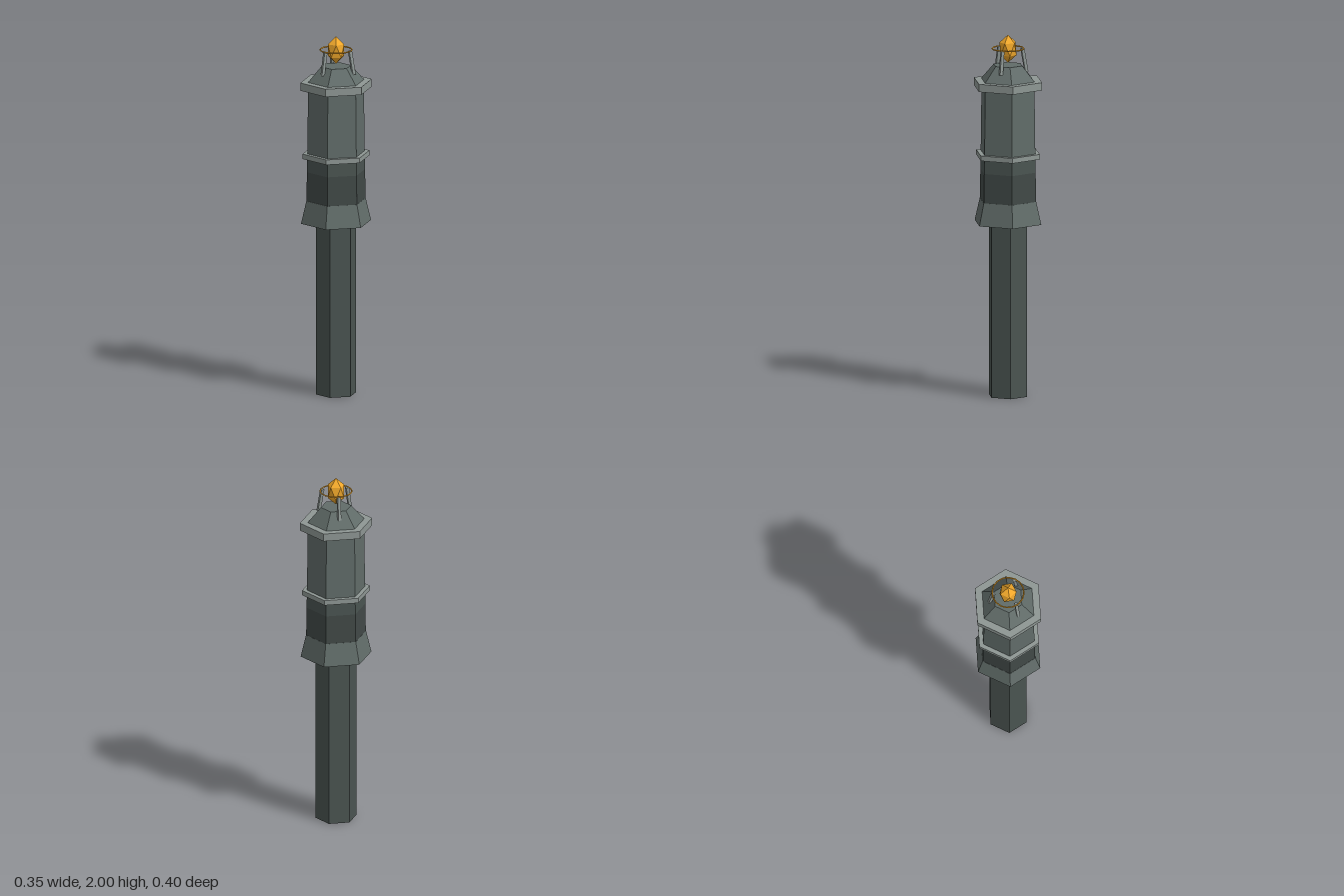
import * as THREE from 'three';

const mat = (color) => new THREE.MeshStandardMaterial({ color, flatShading: true });

export function createModel() {
  const model = new THREE.Group();
  const iron = mat(0x4a5451), band = mat(0x414947), steel = mat(0x616c69);
  const trim = mat(0x8e9794), gold = mat(0xf2a92b);

  const add = (name, geometry, material) => {
    const mesh = new THREE.Mesh(geometry, material);
    mesh.name = name;
    model.add(mesh);
    return mesh;
  };

  // Six-sided section between two heights, corners on the z axis
  const hex = (name, y0, y1, r0, r1, material) => {
    add(name, new THREE.CylinderGeometry(r1, r0, y1 - y0, 6), material).position.y = (y0 + y1) / 2;
  };

  // Shaft and stacked head
  hex('shaft', 0, 0.965, 0.113, 0.113, iron);
  hex('flaredCollar', 0.96, 1.085, 0.196, 0.166, steel);
  hex('gripBand', 1.085, 1.247, 0.165, 0.163, band);
  hex('lowerHousing', 1.247, 1.33, 0.163, 0.161, iron);
  hex('middleRing', 1.322, 1.35, 0.187, 0.187, trim);
  hex('upperHousing', 1.34, 1.71, 0.161, 0.156, steel);
  hex('capRing', 1.706, 1.749, 0.2, 0.2, trim);
  hex('roof', 1.749, 1.833, 0.157, 0.084, steel);

  // Three square prongs leaning inward
  const up = new THREE.Vector3(0, 1, 0);
  for (let i = 0; i < 3; i++) {
    const a = (i * 2 * Math.PI) / 3;
    const at = (r, y) => new THREE.Vector3(r * Math.cos(a), y, r * Math.sin(a));
    const foot = at(0.101, 1.792), tip = at(0.079, 1.924);
    const dir = tip.clone().sub(foot);
    const prong = add('prong', new THREE.CylinderGeometry(0.012, 0.012, dir.length(), 4), trim);
    prong.position.copy(foot).add(tip).multiplyScalar(0.5);
    prong.quaternion.setFromUnitVectors(up, dir.normalize());
  }

  // Thin hoop around the gem
  const hoop = add('hoop', new THREE.TorusGeometry(0.087, 0.004, 4, 16), gold);
  hoop.rotation.x = Math.PI / 2;
  hoop.position.y = 1.924;

  // Stretched icosahedron gem with a corner at each pole
  const gem = new THREE.IcosahedronGeometry(0.052, 0);
  gem.rotateZ(-Math.atan(2 / (1 + Math.sqrt(5))));
  gem.scale(1, 0.0775 / 0.052, 1);
  add('gem', gem, gold).position.y = 1.9225;

  return model;
}
